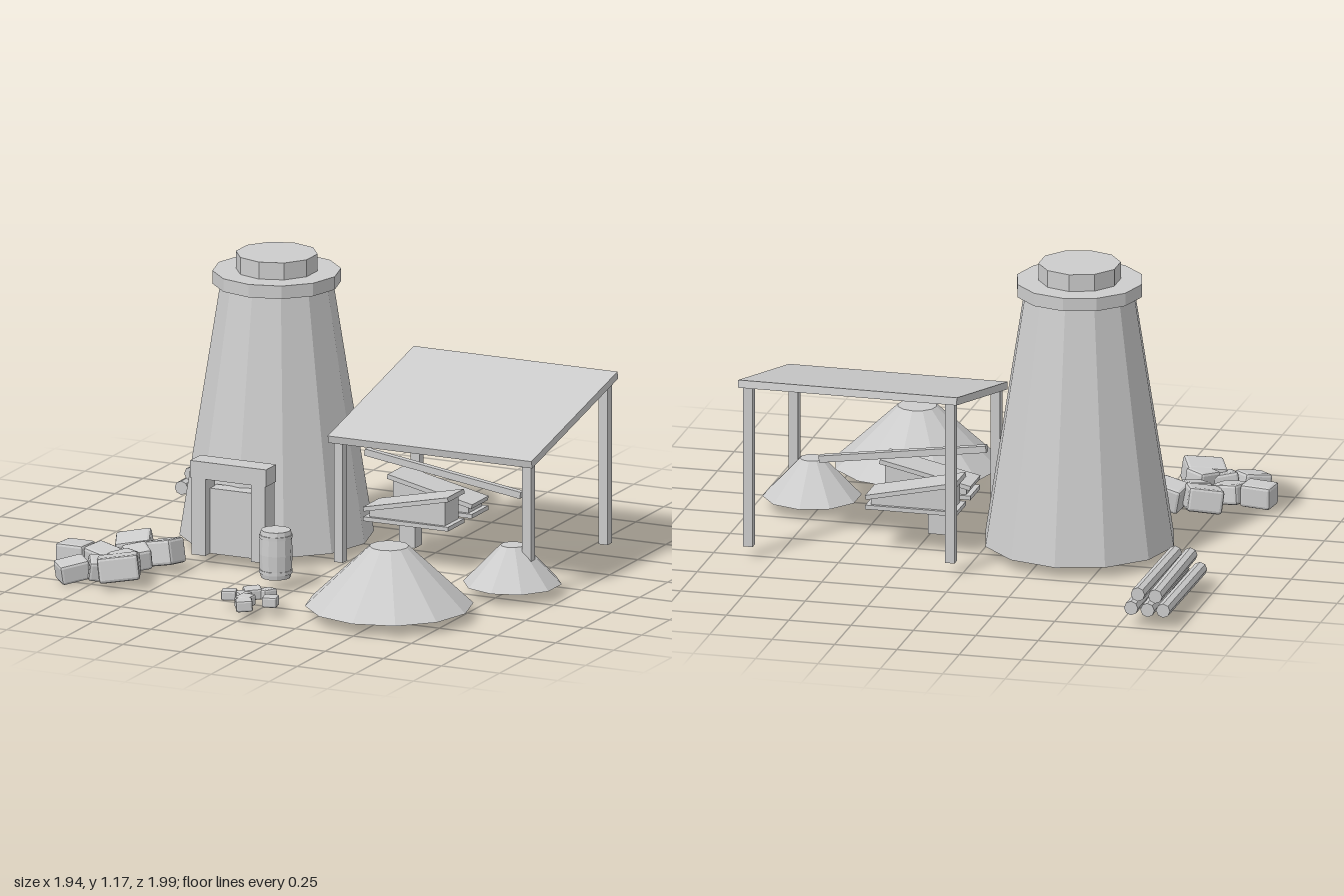
import * as THREE from 'three';
import { RoundedBoxGeometry } from 'three/addons/geometries/RoundedBoxGeometry.js';

const GROUND = 0.055;

export function createModel() {
  const root = new THREE.Group();
  root.name = 'kilnYard';
  const clay = new THREE.MeshStandardMaterial({ color: 0xcccccc, flatShading: true });
  clay.name = 'plain grey';

  const add = (name, geo, pos, rot = [0, 0, 0], parent = root) => {
    const m = new THREE.Mesh(geo, clay);
    m.name = name;
    m.position.set(...pos);
    m.rotation.set(...rot);
    parent.add(m);
    return m;
  };
  const group = (name) => {
    const g = new THREE.Group();
    g.name = name;
    root.add(g);
    return g;
  };
  // Box given by its min/max limits on each axis
  const span = (name, [x0, x1], [y0, y1], [z0, z1], parent) =>
    add(name, new THREE.BoxGeometry(x1 - x0, y1 - y0, z1 - z0),
      [(x0 + x1) / 2, (y0 + y1) / 2, (z0 + z1) / 2], [0, 0, 0], parent);
  // Upright tapered prism from y0 to y1
  const drum = (name, x, z, y0, y1, rBottom, rTop, sides, parent) =>
    add(name, new THREE.CylinderGeometry(rTop, rBottom, y1 - y0, sides),
      [x, (y0 + y1) / 2, z], [0, 0, 0], parent);

  // Furnace tower with collar and cap
  const kiln = group('furnace');
  const kx = -0.362, kz = -0.103;
  drum('furnaceBody', kx, kz, GROUND, 1.07, 0.378, 0.218, 12, kiln);
  drum('furnaceCollar', kx, kz, 1.06, 1.112, 0.25, 0.25, 12, kiln);
  drum('furnaceCap', kx, kz, 1.11, 1.18, 0.16, 0.16, 10, kiln);

  // Tapping doorway
  const door = group('doorway');
  span('doorPostRight', [-0.52, -0.46], [GROUND, 0.365], [0.245, 0.33], door);
  span('doorPostLeft', [-0.264, -0.203], [GROUND, 0.365], [0.245, 0.33], door);
  span('doorLintel', [-0.524, -0.198], [0.363, 0.432], [0.242, 0.333], door);
  span('doorPanel', [-0.465, -0.26], [GROUND, 0.317], [0.222, 0.287], door);

  // Lean-to shelter
  const shed = group('shelter');
  add('shelterRoof', new THREE.BoxGeometry(0.877, 0.03, 0.787), [0.449, 0.637, -0.172], [0.223, 0, 0], shed);
  for (const x of [0.045, 0.855]) {
    span('shelterFrontPost', [x - 0.019, x + 0.019], [GROUND, 0.55], [0.153, 0.191], shed);
    span('shelterBackPost', [x - 0.019, x + 0.019], [GROUND, 0.705], [-0.53, -0.492], shed);
  }

  // Pair of bellows, one open to the left and one to the right, with a rocking beam
  const bellows = group('bellows');
  span('bellowsPost', [0.155, 0.222], [GROUND, 0.195], [-0.19, -0.124], bellows);
  add('rockingBeam', new THREE.BoxGeometry(0.677, 0.027, 0.027), [0.331, 0.362, -0.157], [0, 0, -0.142], bellows);
  for (const [z, side] of [[-0.052, 1], [-0.265, -1]]) {
    const y0 = 0.2, lo = 0.225, hi = 0.305, x0 = 0.07, x1 = 0.435;
    const left = side > 0 ? lo : hi, right = side > 0 ? hi : lo;
    span('bellowsLowerBoard', [x0, x1], [0.183, y0], [z - 0.074, z + 0.074], bellows);
    add('bellowsUpperBoard', new THREE.BoxGeometry(0.372, 0.018, 0.148),
      [(x0 + x1) / 2, (left + right) / 2 + 0.005, z], [0, 0, Math.atan2(right - left, x1 - x0)], bellows);
    const bag = new THREE.Shape([
      new THREE.Vector2(x0 + 0.02, y0 - 0.005), new THREE.Vector2(x1 - 0.02, y0 - 0.005),
      new THREE.Vector2(x1 - 0.02, right), new THREE.Vector2(x0 + 0.02, left)]);
    add('bellowsBag', new THREE.ExtrudeGeometry(bag, { depth: 0.12, bevelEnabled: false }),
      [0, 0, z - 0.06], [0, 0, 0], bellows);
  }

  // Heaps of ore and sand
  drum('largeHeap', 0.492, 0.664, GROUND, 0.29, 0.328, 0.077, 12);
  drum('smallHeap', 0.782, 0.165, GROUND, 0.207, 0.193, 0.047, 10);

  // Barrel with hoops
  const barrel = group('barrel');
  const profile = [[0, 0], [0.058, 0], [0.062, 0.02], [0.065, 0.095], [0.062, 0.17], [0.058, 0.19], [0, 0.19]];
  add('barrelBody', new THREE.LatheGeometry(profile.map(p => new THREE.Vector2(...p)), 12),
    [-0.08, GROUND, 0.489], [0, 0, 0], barrel);
  for (const y of [0.025, 0.165])
    drum('barrelHoop', -0.08, 0.489, GROUND + y - 0.007, GROUND + y + 0.007, 0.065, 0.065, 12, barrel);

  // Stacked logs
  const logs = group('logPile');
  const logRows = [[-0.933, 0.085, 0.006], [-0.868, 0.085, -0.01], [-0.804, 0.085, 0.004],
    [-0.9, 0.143, -0.008], [-0.832, 0.143, 0.008]];
  logRows.forEach(([x, y, yaw], i) =>
    add('log', new THREE.CylinderGeometry(0.028, 0.028, 0.55, 8),
      [x, y, -0.717 + (i % 2 ? -0.004 : 0.004)], [Math.PI / 2, 0, yaw], logs));

  // Scattered blocks: x, y, z, width, height, depth, pitch, yaw, roll
  const rocks = (name, list, bevel) => {
    const g = group(name);
    for (const [x, y, z, w, h, d, rx, ry, rz] of list)
      add('block', new RoundedBoxGeometry(w, h, d, 1, bevel), [x, y, z], [rx, ry, rz], g);
  };
  rocks('largeBlocks', [
    [-0.72, 0.085, 0.42, 0.14, 0.095, 0.13, 0.15, 0.4, 0.1],
    [-0.58, 0.085, 0.44, 0.12, 0.1, 0.11, -0.1, -0.15, 0.2],
    [-0.66, 0.075, 0.525, 0.10, 0.085, 0.10, 0.2, 0.7, 0],
    [-0.905, 0.073, 0.565, 0.125, 0.09, 0.105, 0, -0.1, 0.03],
    [-0.79, 0.07, 0.565, 0.12, 0.08, 0.11, 0.1, -0.3, -0.1],
    [-0.83, 0.06, 0.75, 0.12, 0.08, 0.10, 0.1, 0.75, 0.1],
    [-0.655, 0.085, 0.65, 0.10, 0.085, 0.10, 0.1, -0.6, 0.1],
    [-0.64, 0.085, 0.73, 0.16, 0.1, 0.12, -0.15, 0.42, 0.18],
    [-0.725, 0.065, 0.70, 0.11, 0.08, 0.10, 0.2, 0.5, -0.2],
  ], 0.012);
  rocks('smallBlocks', [
    [-0.112, 0.066, 0.838, 0.06, 0.04, 0.055, 0, 0.35, 0],
    [-0.035, 0.07, 0.79, 0.07, 0.045, 0.06, 0.1, 0.6, 0],
    [0.02, 0.068, 0.772, 0.055, 0.042, 0.06, 0, -0.5, 0.1],
    [-0.055, 0.063, 0.83, 0.055, 0.04, 0.055, 0, 0.9, 0],
    [-0.012, 0.068, 0.905, 0.06, 0.045, 0.07, 0.05, -0.1, 0],
    [0.077, 0.067, 0.862, 0.06, 0.042, 0.06, 0, 0.25, 0],
    [0.008, 0.066, 0.955, 0.065, 0.045, 0.06, 0, 0.5, 0.05],
  ], 0.008);

  return root;
}
